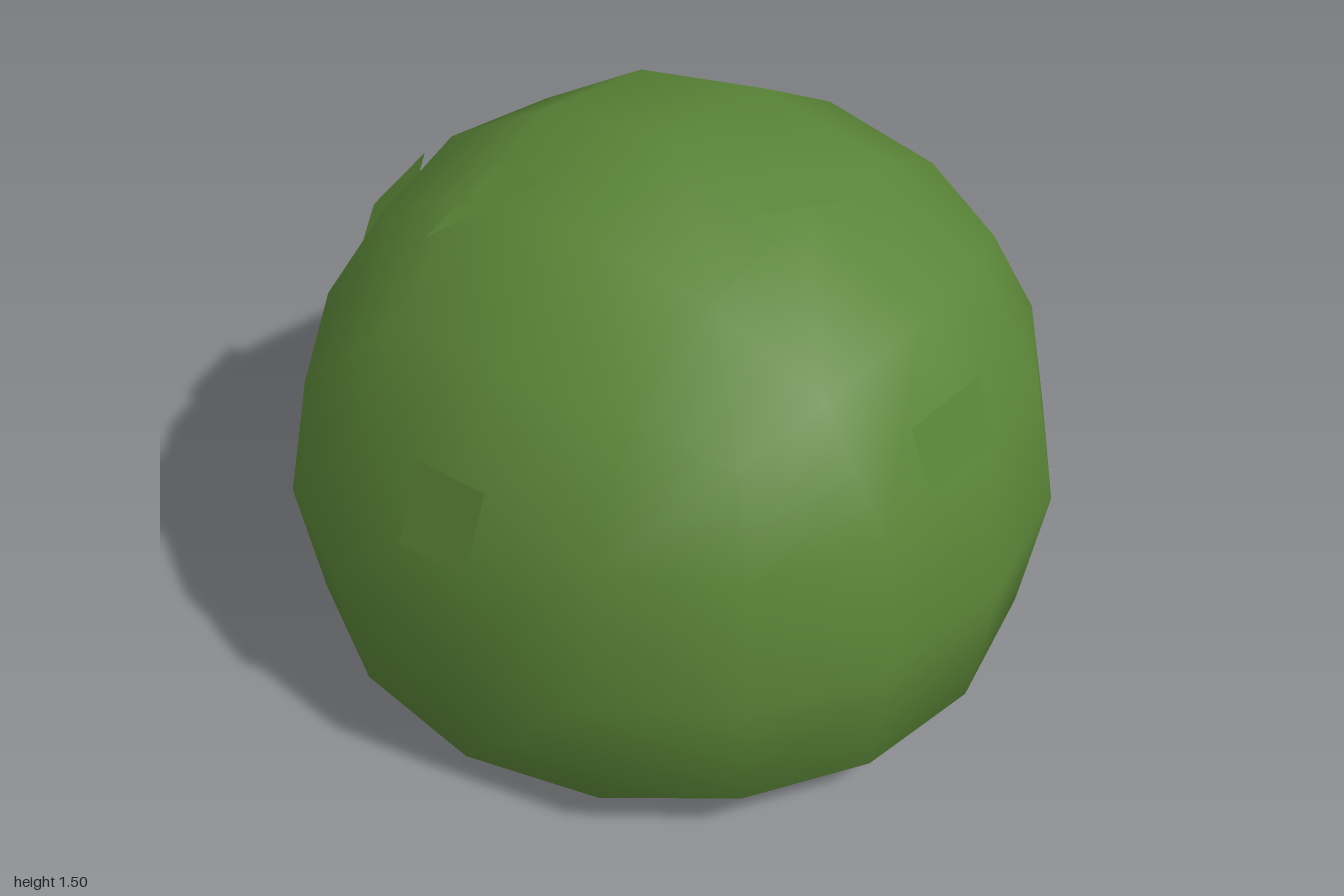
import * as THREE from 'three';
import { mergeVertices } from 'three/addons/utils/BufferGeometryUtils.js';

const foliage = new THREE.MeshStandardMaterial({ color: 0x5a8437, side: THREE.DoubleSide });
foliage.name = 'foliage green';

// Rounded-cube positions: sorted grid levels of a vertex -> coordinate for each level
const ROUND = {
  '200': { 0: 0, 2: 1 },
  '210': { 0: 0, 1: 0.397, 2: 0.931 },
  '220': { 0: 0, 2: 0.726 },
  '211': { 1: 0.376, 2: 0.868 },
  '221': { 1: 0.353, 2: 0.682 },
  '222': { 2: 0.595 },
};

// Hollow dome: a cube rounded to a ball, open below, its lower rim flattened on the ground
function domeGeometry() {
  const geo = new THREE.BoxGeometry(4, 4, 4, 4, 4, 4);
  const bottom = geo.groups[3];
  const index = Array.from(geo.index.array);
  index.splice(bottom.start, bottom.count);
  geo.setIndex(index);
  geo.clearGroups();
  geo.deleteAttribute('uv');
  geo.deleteAttribute('normal');

  const pos = geo.attributes.position;
  for (let i = 0; i < pos.count; i++) {
    const grid = [pos.getX(i), pos.getY(i), pos.getZ(i)].map(Math.round);
    const key = grid.map(Math.abs).sort((a, b) => b - a).join('');
    let [x, y, z] = grid.map((g) => Math.sign(g) * ROUND[key][Math.abs(g)]);
    // keep the rim nearly circular at its corners
    if (key === '222' && y < 0) {
      x *= 0.91;
      z *= 0.91;
    }
    pos.setXYZ(i, x, Math.max(0, y + 0.5), z);
  }
  const merged = mergeVertices(geo);
  merged.computeVertexNormals();
  return merged;
}

// Flat leaf from three or four corners, optionally mirrored
function leaf(name, corners, mx = 1, mz = 1) {
  const pts = corners.map(([x, y, z]) => [x * mx, y, z * mz]);
  if (mx * mz < 0) pts.reverse();
  const geo = new THREE.BufferGeometry();
  geo.setAttribute('position', new THREE.Float32BufferAttribute(pts.flat(), 3));
  geo.setIndex(pts.length === 4 ? [0, 1, 2, 0, 2, 3] : [0, 1, 2]);
  geo.computeVertexNormals();
  const mesh = new THREE.Mesh(geo, foliage);
  mesh.name = name;
  return mesh;
}

export function createModel() {
  const model = new THREE.Group();
  model.name = 'bush';

  const dome = new THREE.Mesh(domeGeometry(), foliage);
  dome.name = 'bushDome';
  model.add(dome);

  // Square leaves, mirrored front to back and side to side
  const frontLeaf = [[-0.21, 0.91, 0.895], [0.045, 0.92, 0.925], [0.045, 1.1, 0.865], [-0.21, 1.085, 0.83]];
  const sideLeaf = [[0.955, 0.765, 0.055], [0.973, 0.79, -0.13], [0.93, 1.04, -0.085], [0.91, 1.01, 0.095]];
  model.add(leaf('frontLeaf', frontLeaf), leaf('backLeaf', frontLeaf, 1, -1));
  model.add(leaf('leftLeaf', sideLeaf), leaf('rightLeaf', sideLeaf, -1, 1));

  // Triangular leaves near the crown
  model.add(leaf('topFrontLeaf', [[-0.045, 1.49, 0.18], [-0.115, 1.46, 0.35], [0.115, 1.41, 0.44]]));
  model.add(leaf('topBackLeaf', [[-0.5, 1.31, -0.4], [-0.295, 1.45, -0.18], [-0.26, 1.41, -0.36]]));
  return model;
}
